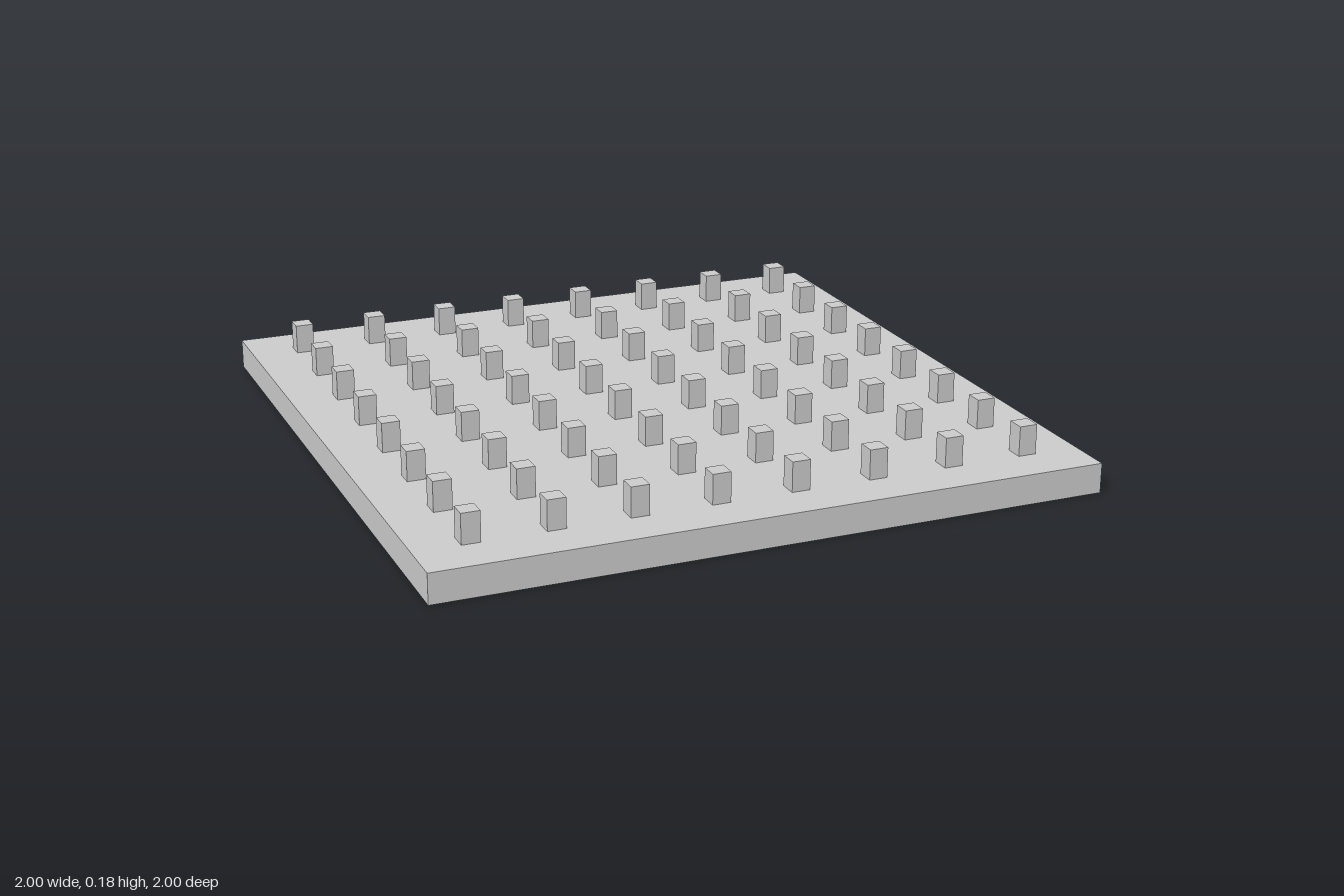
import * as THREE from 'three';

const BASE_HEIGHT = 0.09;
const PEG_HEIGHT = 0.09;
const PEG_WIDTH = 0.055;
const PEGS_PER_SIDE = 8;
const PEG_SPACING = 0.239;

export function createModel() {
  const model = new THREE.Group();
  model.name = 'pegboard';
  const material = new THREE.MeshStandardMaterial({ color: 0xcccccc });

  // Square base slab
  const base = new THREE.Mesh(new THREE.BoxGeometry(2, BASE_HEIGHT, 2), material);
  base.name = 'base';
  base.position.y = BASE_HEIGHT / 2;
  model.add(base);

  // Grid of square pegs standing on the slab
  const pegs = new THREE.Group();
  pegs.name = 'pegs';
  const pegGeometry = new THREE.BoxGeometry(PEG_WIDTH, PEG_HEIGHT, PEG_WIDTH);
  const offset = (i) => (i - (PEGS_PER_SIDE - 1) / 2) * PEG_SPACING;
  for (let row = 0; row < PEGS_PER_SIDE; row++) {
    for (let column = 0; column < PEGS_PER_SIDE; column++) {
      const peg = new THREE.Mesh(pegGeometry, material);
      peg.name = 'peg';
      peg.position.set(offset(column), BASE_HEIGHT + PEG_HEIGHT / 2, offset(row));
      pegs.add(peg);
    }
  }
  model.add(pegs);

  return model;
}
